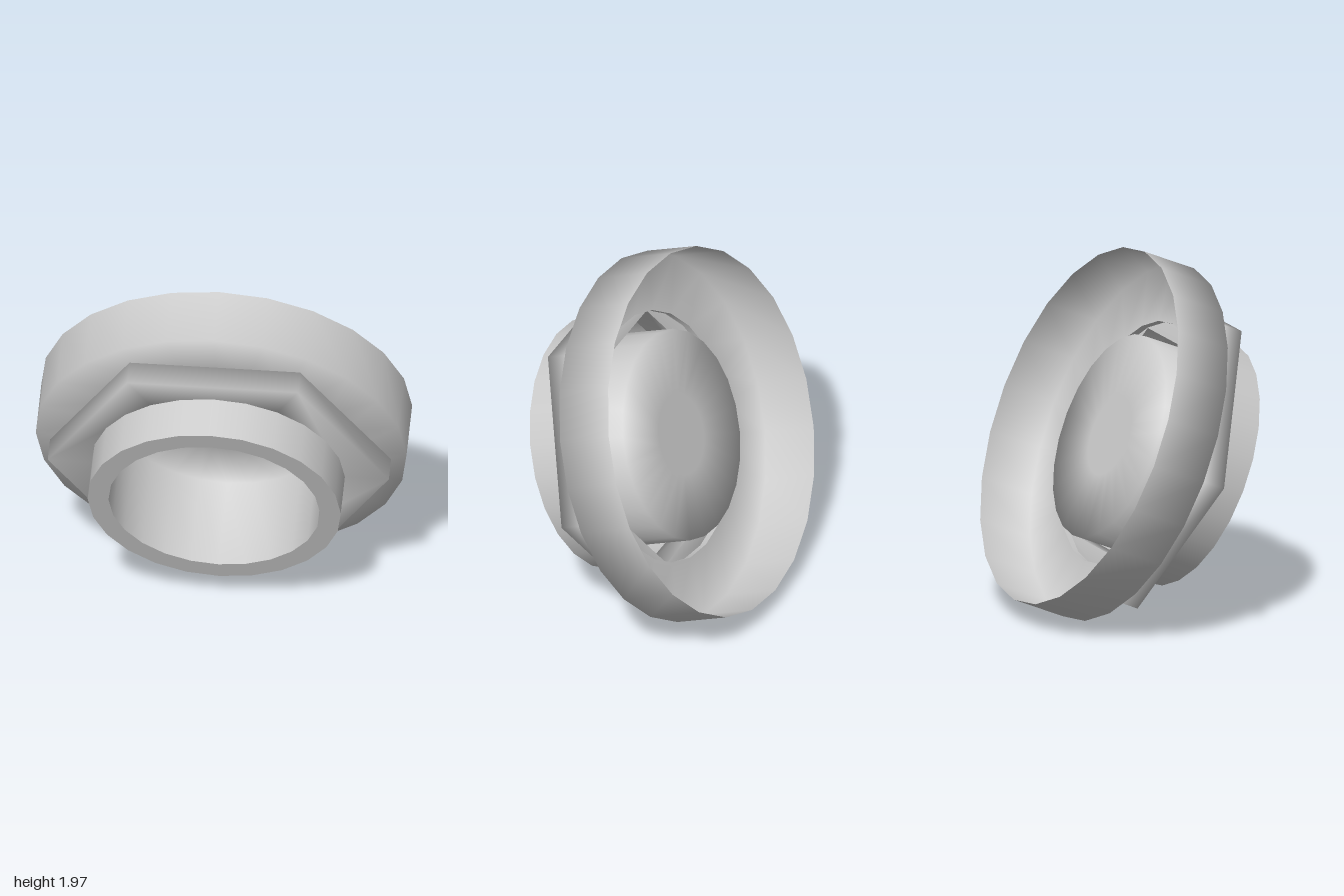
import * as THREE from 'three';

const material = new THREE.MeshStandardMaterial({ color: 0xcccccc, side: THREE.DoubleSide });

// Turned part around the z axis; profile is a list of [radius, distance along the axis]
function turned(name, profile, sides = 24, start = 0) {
  const points = profile.map(([r, s]) => new THREE.Vector2(r, s));
  const geometry = new THREE.LatheGeometry(points, sides, start);
  geometry.rotateX(Math.PI / 2);
  const mesh = new THREE.Mesh(geometry, material);
  mesh.name = name;
  return mesh;
}

export function createModel() {
  const model = new THREE.Group();
  model.name = 'flangedHexFitting';

  const fitting = new THREE.Group();
  fitting.name = 'tiltedFitting';

  // Wide thin-walled flange, open at the back, with a round hole in its front face
  fitting.add(turned('flange', [[1, -0.157], [1, 0.157], [0.68, 0.157]]));

  // Six-sided collar with corners to the left and right
  fitting.add(turned('hexCollar',
    [[0.68, 0.195], [0.92, 0.195], [0.92, 0.325], [0.68, 0.325], [0.68, 0.195]], 6, Math.PI / 2));

  // Front tube: outer wall and flat rim with sharp edges
  fitting.add(turned('tubeWall', [[0.683, 0.157], [0.683, 0.559]]));
  fitting.add(turned('tubeRim', [[0.683, 0.559], [0.57, 0.559]]));

  // Cup inside the tube, closed at the back with softly shaded corners
  fitting.add(turned('innerCup', [[0.57, 0.559], [0.57, 0.035], [0.22, 0.035], [0, 0.035]]));

  // Lean the whole fitting so its front looks downwards
  fitting.rotation.x = Math.PI / 8;
  fitting.position.set(0, 0.984, -0.125);
  model.add(fitting);
  return model;
}
